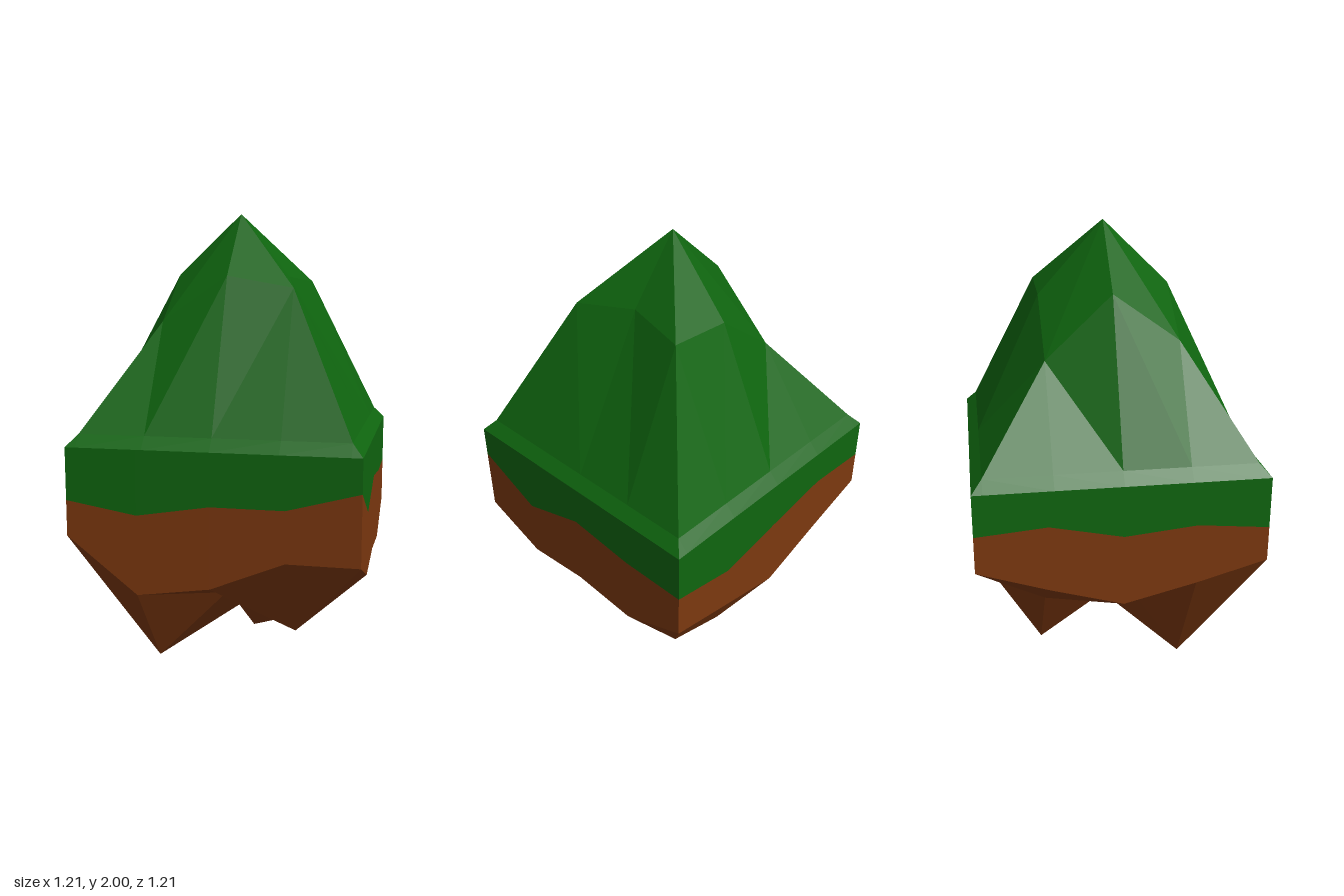
import * as THREE from 'three';

const green = new THREE.MeshStandardMaterial({ color: 0x0f650f });
green.name = 'grass green';
const brown = new THREE.MeshStandardMaterial({ color: 0x7c380f });
brown.name = 'soil brown';

// Faceted mesh from a list of corner points, three per triangle
function facetMesh(name, points, material) {
  const geometry = new THREE.BufferGeometry().setFromPoints(points);
  geometry.computeVertexNormals();
  const mesh = new THREE.Mesh(geometry, material);
  mesh.name = name;
  return mesh;
}

// Points of a square height grid; rows run from back to front, columns along x
function gridPoints(coords, rows) {
  return rows.map((row, j) => row.map((y, i) => new THREE.Vector3(coords[i], y, coords[j])));
}

// Triangles of a height grid, with the corner cells folded towards the middle
function gridFaces(grid, facingDown) {
  const out = [];
  const n = grid.length - 1;
  const add = (p, q, r) => (facingDown ? out.push(p, r, q) : out.push(p, q, r));
  for (let j = 0; j < n; j++) {
    for (let i = 0; i < n; i++) {
      const a = grid[j][i], b = grid[j][i + 1], c = grid[j + 1][i + 1], d = grid[j + 1][i];
      if (i === j) {
        add(a, d, c);
        add(a, c, b);
      } else {
        add(a, d, b);
        add(b, d, c);
      }
    }
  }
  return out;
}

// Outer points of a 5 x 5 grid, starting front left and going round by the right
function outline(grid) {
  const n = grid.length - 1;
  const loop = [];
  for (let k = 0; k < n; k++) loop.push(grid[n][k]);
  for (let k = 0; k < n; k++) loop.push(grid[n - k][n]);
  for (let k = 0; k < n; k++) loop.push(grid[0][n - k]);
  for (let k = 0; k < n; k++) loop.push(grid[k][0]);
  return loop;
}

// Upright band between two loops
function band(lower, upper) {
  const out = [];
  lower.forEach((a, k) => {
    const m = (k + 1) % lower.length;
    out.push(a, lower[m], upper[m], a, upper[m], upper[k]);
  });
  return out;
}

export function createModel() {
  const island = new THREE.Group();
  island.name = 'floatingIsland';
  const E = 0.605, rim = 1.04, foot = 1.09;

  // Grassy hill with a low bevelled rim
  const flat = Array(7).fill(rim);
  const step = [rim, foot, foot, foot, foot, foot, rim];
  const hill = gridPoints([-E, -0.56, -0.28, 0, 0.28, 0.56, E], [
    flat,
    step,
    [rim, foot, 1.475, 1.69, 1.71, foot, rim],
    [rim, foot, 1.74, 2.0, 1.73, foot, rim],
    [rim, foot, 1.54, 1.73, 1.68, foot, rim],
    step,
    flat,
  ]);
  hill[3][4].x = 0.217;
  island.add(facetMesh('grassHill', gridFaces(hill, false), green));

  // Jagged rocky underside
  const rock = gridPoints([-E, -0.305, 0, 0.305, E], [
    [0.70, 0.60, 0.49, 0.555, 0.62],
    [0.60, 0.39, 0.0, 0.09, 0.495],
    [0.51, 0.52, 0.215, 0.35, 0.52],
    [0.585, 0.06, 0.37, 0.22, 0.49],
    [0.67, 0.435, 0.48, 0.605, 0.605],
  ]);
  island.add(facetMesh('rockUnderside', gridFaces(rock, true), brown));

  // Side walls: soil below, overhanging grass edge above
  const soilLine = outline(rock);
  const grassHeights = [
    0.82, 0.77, 0.82, 0.82,
    0.90, 0.76, 0.855, 0.82,
    0.82, 0.76, 0.82, 0.875,
    0.86, 0.885, 0.82, 0.85,
  ];
  const grassLine = soilLine.map((p, k) => new THREE.Vector3(p.x, grassHeights[k], p.z));
  const rimLine = soilLine.map((p) => new THREE.Vector3(p.x, rim, p.z));
  island.add(facetMesh('soilWall', band(soilLine, grassLine), brown));
  island.add(facetMesh('grassEdge', band(grassLine, rimLine), green));

  return island;
}
